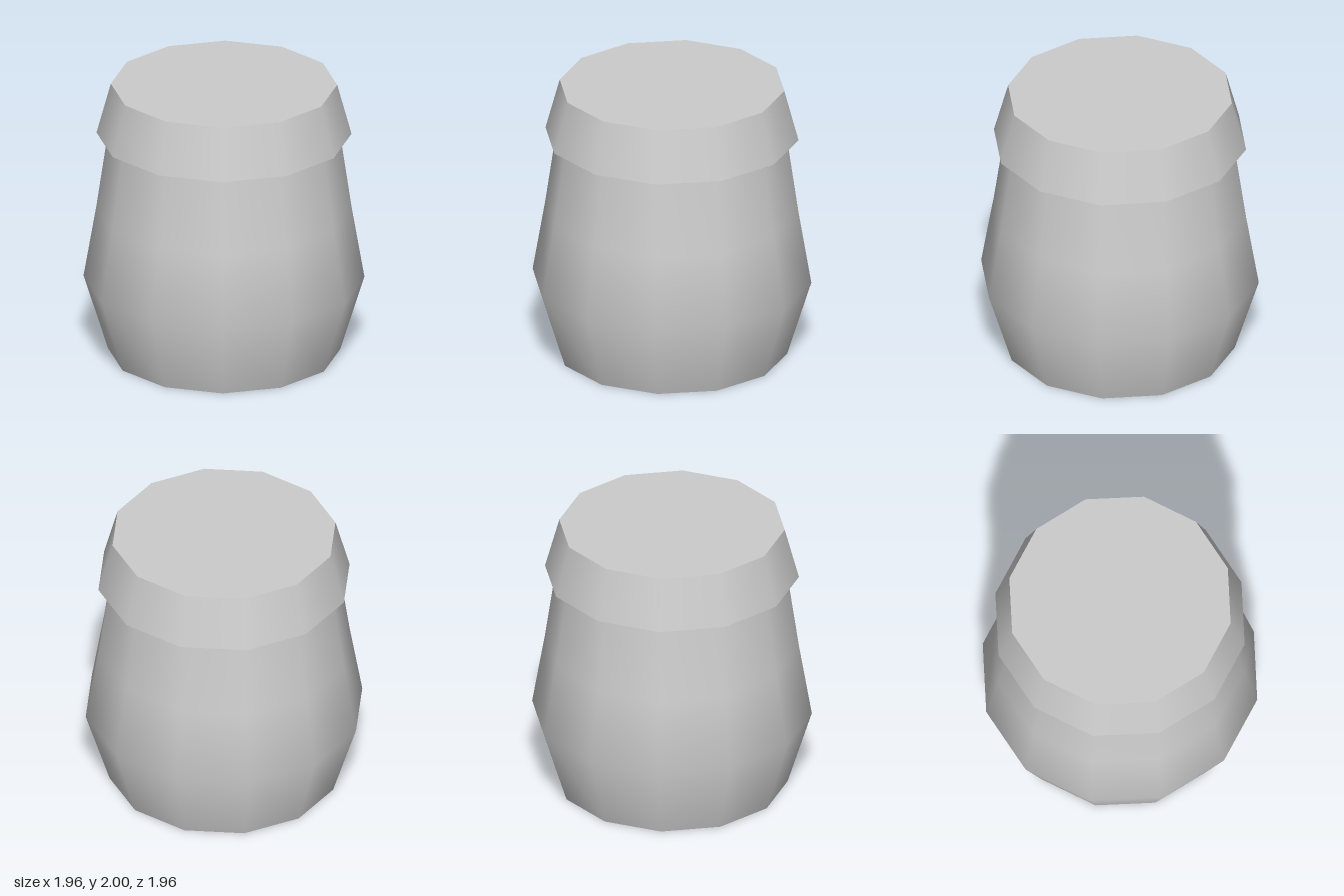
import * as THREE from 'three';

const SIDES = 12;
const TURN = THREE.MathUtils.degToRad(-3.2); // slight twist of the twelve-sided plan

export function createModel() {
  const group = new THREE.Group();
  group.name = 'jar';

  const grey = new THREE.MeshStandardMaterial({ color: 0xcccccc, side: THREE.DoubleSide });
  grey.name = 'plain grey';

  // Hollow body, open underneath, bulging low and narrowing to the lid
  const profile = [[0.81, 0], [0.98, 0.55], [0.89, 1.08], [0.81, 1.63]]
    .map(([r, y]) => new THREE.Vector2(r, y));
  const body = new THREE.Mesh(new THREE.LatheGeometry(profile, SIDES, TURN, Math.PI * 2), grey);
  body.name = 'body';

  // Tapered lid overhanging the neck
  const lid = new THREE.Mesh(
    new THREE.CylinderGeometry(0.79, 0.89, 0.37, SIDES, 1, false, TURN), grey);
  lid.name = 'lid';
  lid.position.y = 1.815;

  group.add(body, lid);
  return group;
}
